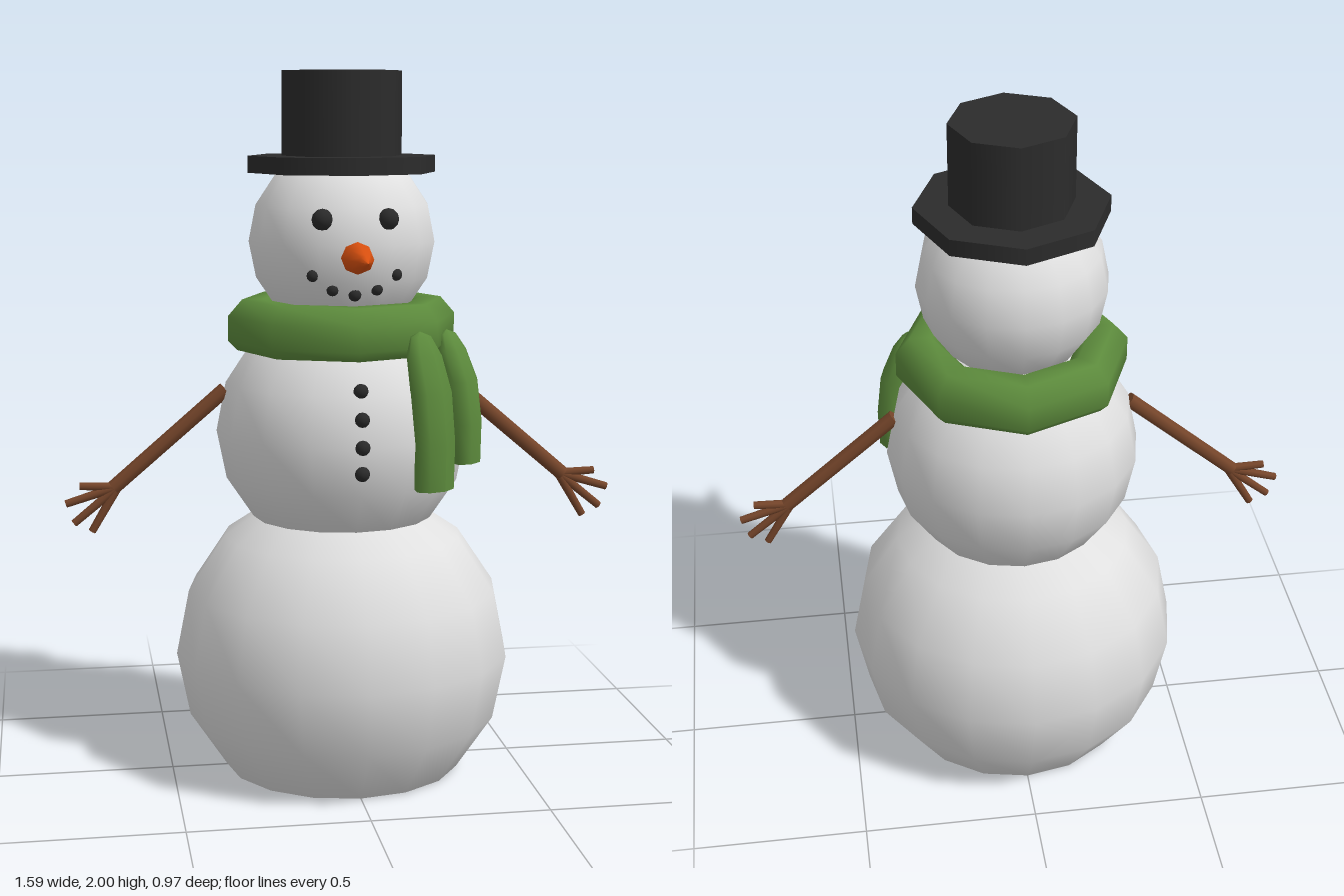
import * as THREE from 'three';

const mat = (name, color) => new THREE.MeshStandardMaterial({ name, color });
const V = (x, y, z) => new THREE.Vector3(x, y, z);

export function createModel() {
  const snow = mat('snow', 0xe0e0e0);
  const coal = mat('coal', 0x2a2a2a);
  const felt = mat('hatFelt', 0x2c2c2c);
  const wool = mat('scarfWool', 0x5c8a3c);
  const bark = mat('bark', 0x75452a);
  const carrot = mat('carrot', 0xd9500f);

  const root = new THREE.Group();
  root.name = 'snowman';
  const add = (name, geo, material, pos = [0, 0, 0], parent = root) => {
    const m = new THREE.Mesh(geo, material);
    m.name = name;
    m.position.set(...pos);
    parent.add(m);
    return m;
  };
  const lathe = (pts, n) => new THREE.LatheGeometry(pts.map(p => new THREE.Vector2(...p)), n);

  // Three snowballs; the lowest is pressed flat on the ground
  const baseY = 0.344;
  const base = new THREE.SphereGeometry(0.483, 16, 8);
  const bp = base.attributes.position;
  for (let i = 0; i < bp.count; i++) bp.setY(i, Math.max(bp.getY(i), -baseY));
  add('baseSnowball', base, snow, [0, baseY, 0]);
  add('bodySnowball', new THREE.SphereGeometry(0.361, 16, 8), snow, [0, 0.995, 0]);
  add('headSnowball', new THREE.SphereGeometry(0.265, 16, 8), snow, [0, 1.53, 0]);

  // Top hat
  add('hatBrim', new THREE.CylinderGeometry(0.266, 0.266, 0.047, 8), felt, [0, 1.743, 0]);
  add('hatCrown', new THREE.CylinderGeometry(0.17, 0.17, 0.245, 8), felt, [0, 1.8775, 0]);

  // Coal lumps pressed into the front of a snowball
  const lump = (name, x, y, r, cy, ballR) => {
    const z = Math.sqrt(ballR * ballR - x * x - (y - cy) ** 2) - 0.003;
    add(name, new THREE.SphereGeometry(r, 8, 6), coal, [x, y, z]);
  };
  for (const s of [-1, 1]) {
    lump('eye', s * 0.09, 1.602, 0.03, 1.53, 0.26);
    lump('mouthCoal', s * 0.115, 1.45, 0.017, 1.53, 0.26);
    lump('mouthCoal', s * 0.061, 1.411, 0.017, 1.53, 0.26);
  }
  lump('mouthCoal', 0, 1.397, 0.018, 1.53, 0.262);
  for (const y of [1.147, 1.073, 0.998, 0.925]) lump('button', 0, y, 0.021, 0.995, 0.36);

  // Carrot nose, slightly bulging
  const nose = lathe([[0, 0], [0.042, 0], [0.044, 0.03], [0.036, 0.085], [0.017, 0.15], [0, 0.205]], 8);
  add('nose', nose, carrot, [0, 1.5, 0.235]).rotation.x = Math.PI / 2;

  // Scarf ring
  add('scarfRing', lathe([
    [0.3, 1.223], [0.325, 1.25], [0.325, 1.32], [0.285, 1.366], [0.225, 1.366],
    [0.19, 1.33], [0.19, 1.25], [0.225, 1.223], [0.3, 1.223],
  ], 8), wool);

  // Hanging scarf ends: flattened, with the top leaning inwards
  const scarfEnd = (x, z, y, h) => {
    const g = lathe([[0, 0], [0.95, 0], [0.95, 0], [1, 0.3], [1, 0.62], [0.85, 0.85], [0.5, 0.97], [0, 1]], 8);
    const p = g.attributes.position;
    for (let i = 0; i < p.count; i++) {
      const t = p.getY(i);
      p.setXYZ(i, p.getX(i) * 0.068, t * h, p.getZ(i) * 0.045 - 0.12 * Math.max(0, t - 0.5));
    }
    g.computeVertexNormals();
    add('scarfEnd', g, wool, [x, y, z]).rotation.y = Math.atan2(x, z);
  };
  scarfEnd(0.207, 0.306, 0.868, 0.43);
  scarfEnd(0.322, 0.182, 0.92, 0.37);

  // Stick arms with four twig fingers each
  const stick = (name, a, b, r0, r1, parent) => {
    const d = b.clone().sub(a);
    const m = add(name, new THREE.CylinderGeometry(r1, r0, d.length(), 8), bark,
      a.clone().add(b).multiplyScalar(0.5).toArray(), parent);
    m.quaternion.setFromUnitVectors(V(0, 1, 0), d.normalize());
  };
  for (const s of [-1, 1]) {
    const arm = new THREE.Group();
    arm.name = s > 0 ? 'leftArm' : 'rightArm';
    root.add(arm);
    stick('armStick', V(s * 0.335, 1.112, 0), V(s * 0.655, 0.838, 0), 0.022, 0.021, arm);
    for (const [x, y] of [[0.75, 0.845], [0.79, 0.795], [0.768, 0.738], [0.718, 0.713]])
      stick('twigFinger', V(s * 0.643, 0.84, 0), V(s * x, y, 0), 0.013, 0.011, arm);
  }

  return root;
}
